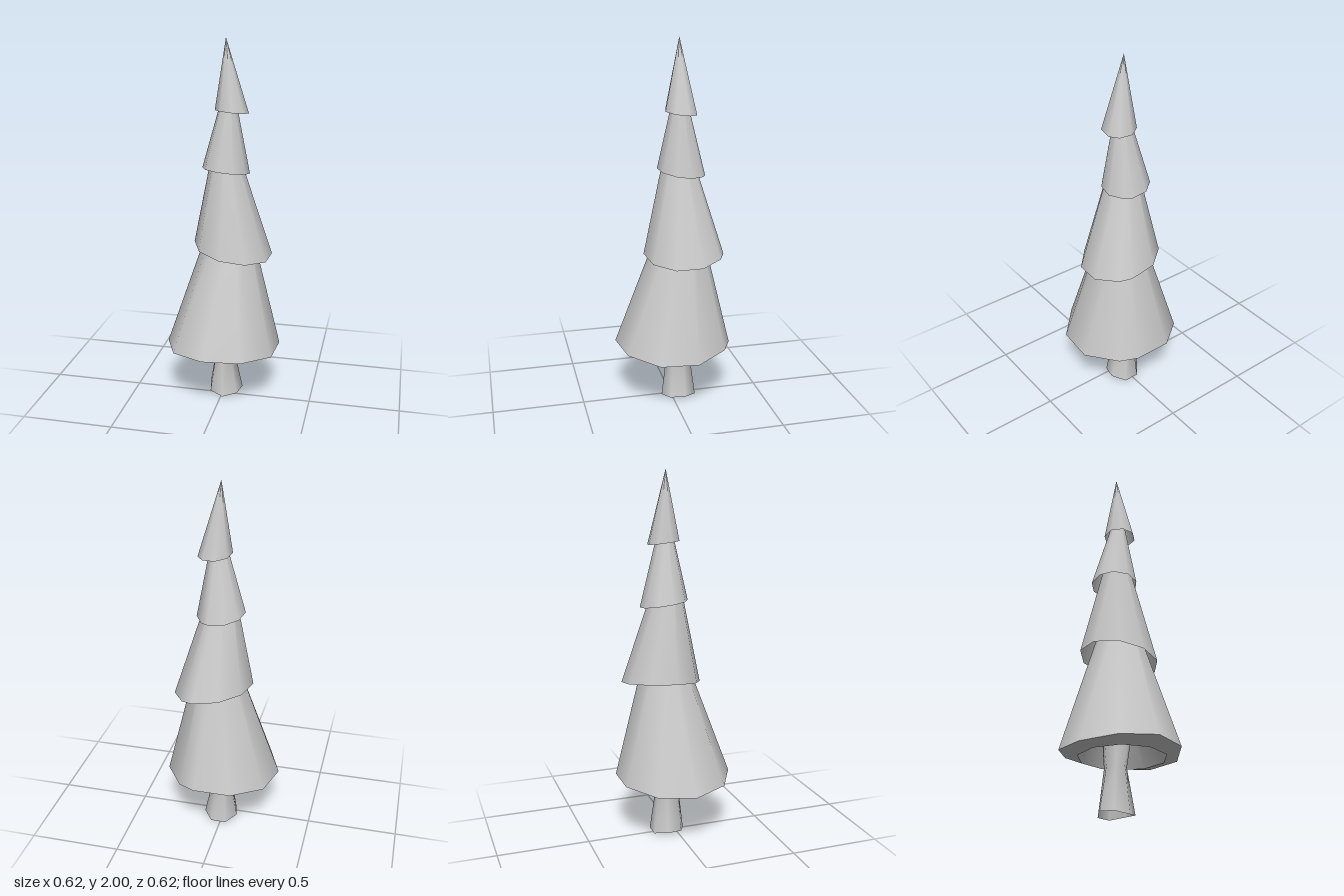
import * as THREE from 'three';

const material = new THREE.MeshStandardMaterial({ color: 0xcccccc, side: THREE.DoubleSide });

// Smooth skin through closed rings of [x, y, z] points, given from bottom to top
function loft(name, rings) {
  const n = rings[0].length, index = [];
  for (let r = 0; r < rings.length - 1; r++) {
    for (let i = 0; i < n; i++) {
      const a = r * n + i, b = r * n + (i + 1) % n;
      index.push(a, a + n, b, b, a + n, b + n);
    }
  }
  const geometry = new THREE.BufferGeometry();
  geometry.setAttribute('position', new THREE.Float32BufferAttribute(rings.flat(2), 3));
  geometry.setIndex(index);
  geometry.computeVertexNormals();
  const mesh = new THREE.Mesh(geometry, material);
  mesh.name = name;
  return mesh;
}

// Copy of a ring shrunk about its centre and moved to a new centre and height
function shrink(ring, scale, [x, y, z]) {
  const mid = k => (Math.min(...ring.map(p => p[k])) + Math.max(...ring.map(p => p[k]))) / 2;
  const cx = mid(0), cz = mid(2);
  return ring.map(p => [x + (p[0] - cx) * scale, y, z + (p[2] - cz) * scale]);
}

// Ragged skirts of branches: rim outline [x, z], rim height, then the narrow upper end
const tiers = [
  { name: 'bottomBranches', height: x => 0.337 - 0.3 * x * x, scale: 0.26, top: [0.035, 1.1, -0.05],
    rim: [[-0.1, -0.31], [0.106, -0.31], [0.198, -0.26], [0.311, -0.086], [0.296, 0.12],
      [0.155, 0.271], [-0.05, 0.305], [-0.23, 0.207], [-0.311, 0.018], [-0.261, -0.184]] },
  { name: 'lowerBranches', height: (x, z) => 0.866 - 0.17 * x - 0.05 * z, scale: 0.21, top: [0, 1.5, -0.033],
    rim: [[-0.023, -0.264], [0.118, -0.266], [0.179, -0.234], [0.254, -0.118], [0.243, 0.023],
      [0.148, 0.127], [0.013, 0.152], [-0.111, 0.088], [-0.166, -0.039], [-0.132, -0.177]] },
  { name: 'upperBranches', height: (x, z) => 1.308 - 0.1 * x + 0.12 * z, scale: 0.12, top: [0.027, 1.78, -0.042],
    rim: [[-0.037, -0.177], [0.052, -0.177], [0.089, -0.155], [0.132, -0.084], [0.121, -0.005],
      [0.066, 0.055], [-0.014, 0.07], [-0.089, 0.029], [-0.121, -0.046], [-0.102, -0.127]] },
  { name: 'treeTip', height: (x, z) => 1.628 - 0.08 * x + 0.1 * z, scale: 0.005, top: [0.008, 2, -0.045],
    rim: [[0.023, -0.134], [0.089, -0.121], [0.125, -0.075], [0.114, 0], [0.057, 0.039],
      [-0.009, 0.025], [-0.048, -0.03], [-0.034, -0.098]] },
];

export function createModel() {
  const tree = new THREE.Group();
  tree.name = 'tree';

  for (const { name, rim, height, scale, top } of tiers) {
    const ring = rim.map(([x, z]) => [x, height(x, z), z]);
    tree.add(loft(name, [ring, shrink(ring, scale, top)]));

    // The lowest skirt folds under and rises inside towards the trunk
    if (name === 'bottomBranches') {
      const fold = shrink(ring, 0.73, [0.022, 0.3, -0.01]);
      tree.add(loft('branchUnderside', [fold, ring]));
      tree.add(loft('branchLining', [shrink(ring, 0.27, [0.02, 0.58, -0.04]), fold]));
    }
  }

  // Seven-sided trunk with a waist, a wavy foot and a flare into the branches
  const sections = [
    { x: 0.01, y: 0, rx: 0.097, rz: 0.097, wave: 0.02 },
    { x: 0.004, y: 0.25, rx: 0.052, rz: 0.066, wave: 0 },
    { x: 0.02, y: 0.58, rx: 0.095, rz: 0.095, wave: 0 },
  ];
  const trunk = sections.map(({ x, y, rx, rz, wave }) => Array.from({ length: 7 }, (_, i) => {
    const t = i / 7 * Math.PI * 2;
    return [x - rx * Math.sin(t), y + wave * Math.sin(t) ** 2, -0.043 + rz * Math.cos(t)];
  }));
  tree.add(loft('trunk', trunk));
  return tree;
}
